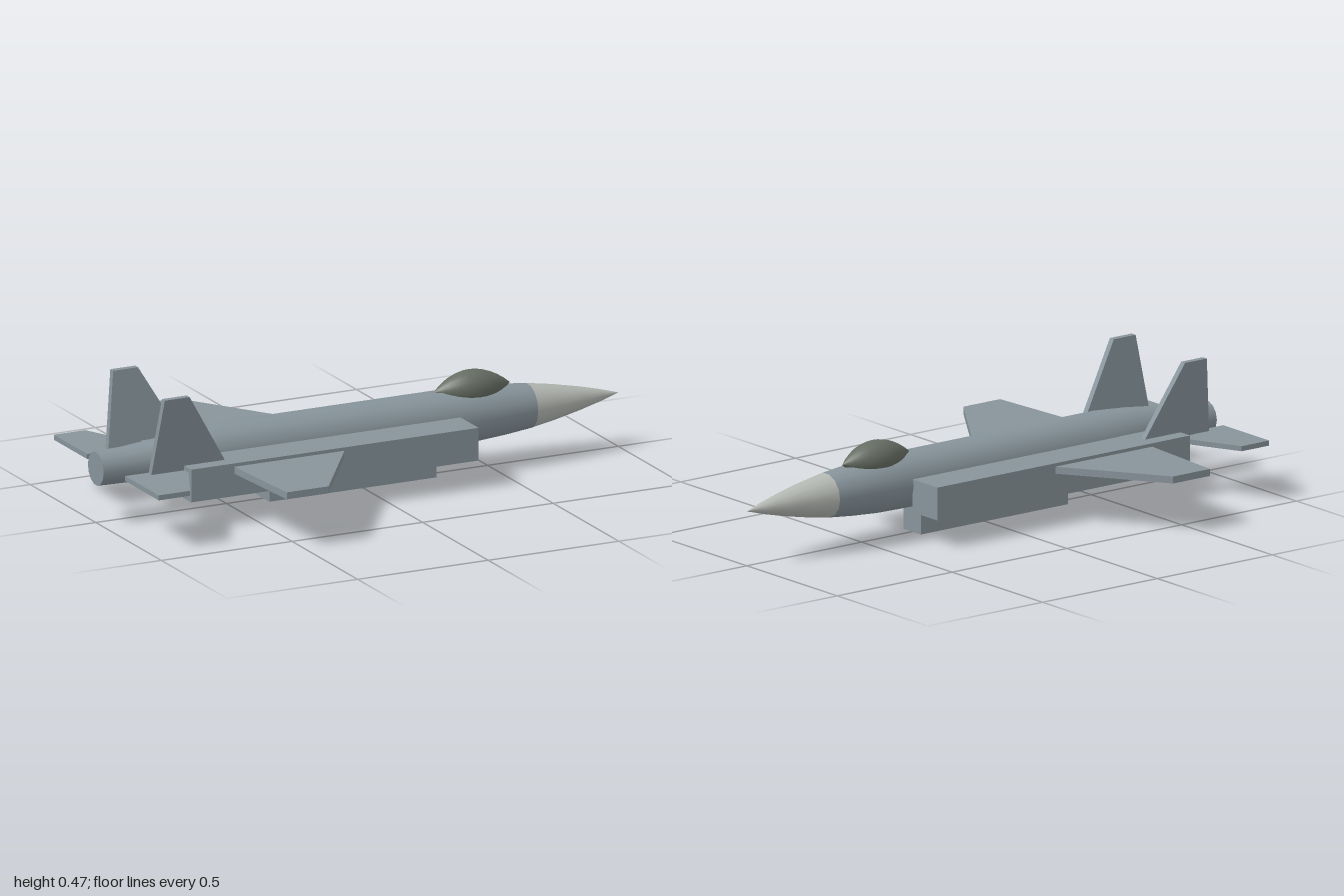
import * as THREE from 'three';

const AXIS_Y = 0.193;
const mat = (color) => new THREE.MeshStandardMaterial({ color });

export function createModel() {
  const model = new THREE.Group();
  model.name = 'jetAircraft';
  const skin = mat(0x87949b), noseSkin = mat(0xb4b8b2), glass = mat(0x656c62);

  const add = (name, geometry, material = skin) => {
    const mesh = new THREE.Mesh(geometry, material);
    mesh.name = name;
    model.add(mesh);
    return mesh;
  };

  // Round body along x from [x, radius] pairs
  const turned = (name, profile, y, sides, material) => {
    const points = profile.map(([x, r]) => new THREE.Vector2(r, x));
    const g = new THREE.LatheGeometry(points, sides);
    g.rotateZ(-Math.PI / 2).translate(0, y, 0);
    return add(name, g, material);
  };

  // Box from its limits
  const block = (name, x0, x1, y0, y1, z0, z1) => {
    const g = new THREE.BoxGeometry(x1 - x0, y1 - y0, z1 - z0);
    return add(name, g.translate((x0 + x1) / 2, (y0 + y1) / 2, (z0 + z1) / 2));
  };

  const extruded = (points, depth) => new THREE.ExtrudeGeometry(
    new THREE.Shape(points.map(([a, b]) => new THREE.Vector2(a, b))),
    { depth, bevelEnabled: false });

  // Flat plate from an [x, z] outline, top at yTop
  const plate = (name, outline, side, yTop, thickness) => {
    const g = extruded(outline.map(([x, z]) => [x, z * side]), thickness);
    return add(name, g.rotateX(Math.PI / 2).translate(0, yTop, 0));
  };

  // Fuselage, tail cap and nose cone
  turned('fuselage', [[-1, 0.06], [-0.9, 0.062], [-0.8, 0.071], [-0.66, 0.088],
    [-0.53, 0.098], [0.35, 0.098], [0.45, 0.096], [0.56, 0.088], [0.655, 0.078]], AXIS_Y, 14, skin);
  const cap = new THREE.CircleGeometry(0.06, 14);
  add('exhaustCap', cap.rotateY(-Math.PI / 2).translate(-1, AXIS_Y, 0));
  turned('noseCone', [[0.655, 0.078], [0.75, 0.062], [0.85, 0.041], [0.93, 0.021], [1, 0]],
    AXIS_Y, 14, noseSkin);

  // Lens-shaped canopy
  const lens = [];
  for (let i = 0; i <= 12; i++) {
    const t = i / 6 - 1;
    lens.push([0.438 + 0.147 * t, 0.064 * (1 - t * t)]);
  }
  turned('canopy', lens, 0.287, 20, glass);

  // Belly bay
  block('bellyBay', -0.36, 0.28, 0, 0.12, -0.048, 0.048);

  for (const side of [1, -1]) {
    const tag = side > 0 ? 'front' : 'back';

    // Side intake duct
    const z = [0.09 * side, 0.23 * side].sort((a, b) => a - b);
    block(tag + 'IntakeDuct', -0.75, 0.35, 0.1, 0.217, z[0], z[1]);

    // Wing and tailplane
    plate(tag + 'Wing', [[-0.16, 0.225], [-0.4, 0.58], [-0.56, 0.58], [-0.585, 0.225]],
      side, 0.205, 0.025);
    plate(tag + 'Tailplane', [[-0.72, 0.145], [-0.84, 0.4], [-0.96, 0.4], [-0.96, 0.145]],
      side, 0.2, 0.018);

    // Tail fin, sheared outward
    const fin = extruded([[-0.875, 0.2], [-0.585, 0.2], [-0.745, 0.47], [-0.84, 0.47]], 0.022);
    const p = fin.attributes.position;
    for (let i = 0; i < p.count; i++) {
      p.setZ(i, p.getZ(i) - 0.011 + side * (0.164 + (p.getY(i) - 0.2) * 0.122));
    }
    fin.computeVertexNormals();
    add(tag + 'TailFin', fin);
  }
  return model;
}
